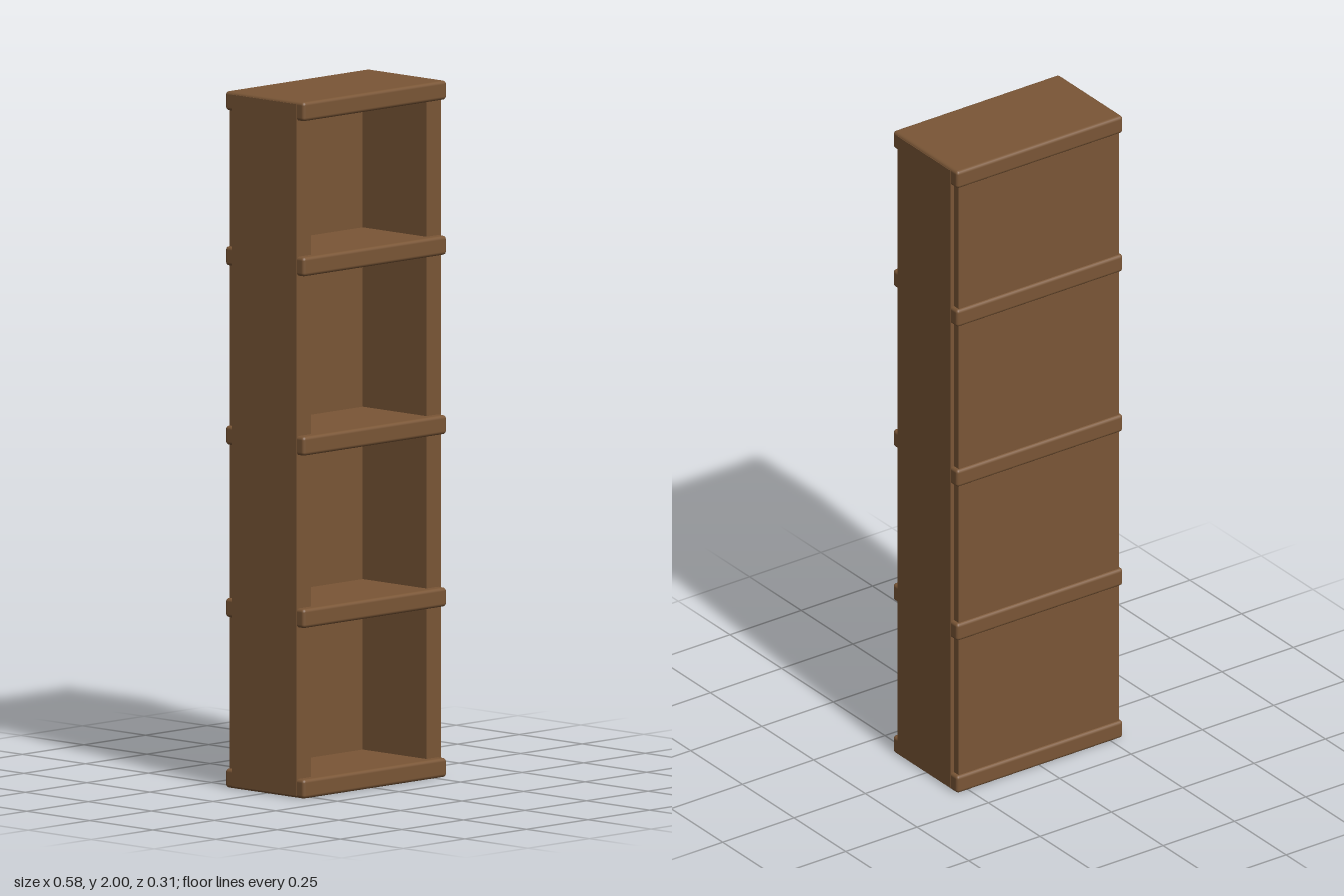
import * as THREE from 'three';
import { RoundedBoxGeometry } from 'three/addons/geometries/RoundedBoxGeometry.js';

export function createModel() {
  const model = new THREE.Group();
  model.name = 'bookcase';
  const wood = new THREE.MeshStandardMaterial({ color: 0x7a5636 });
  wood.name = 'brown wood';

  function add(name, geometry, x, y, z) {
    const mesh = new THREE.Mesh(geometry, wood);
    mesh.name = name;
    mesh.position.set(x, y, z);
    model.add(mesh);
  }

  // Base, shelves and top: soft-edged boards that overhang front and back
  const board = new RoundedBoxGeometry(0.583, 0.055, 0.314, 2, 0.01);
  const levels = [0.0275, 0.517, 1.012, 1.527, 1.9725];
  const names = ['base', 'lowerShelf', 'middleShelf', 'upperShelf', 'top'];
  levels.forEach((y, i) => add(names[i], board, 0, y, 0));

  // Side walls, flush with the board ends
  for (const side of [1, -1]) {
    add(side > 0 ? 'leftWall' : 'rightWall',
      new THREE.BoxGeometry(0.058, 1.986, 0.256), side * 0.2635, 1, 0.002);
  }

  // Back panel, slightly narrower than the walls
  add('backPanel', new THREE.BoxGeometry(0.562, 1.97, 0.026), 0, 1, -0.136);

  return model;
}
